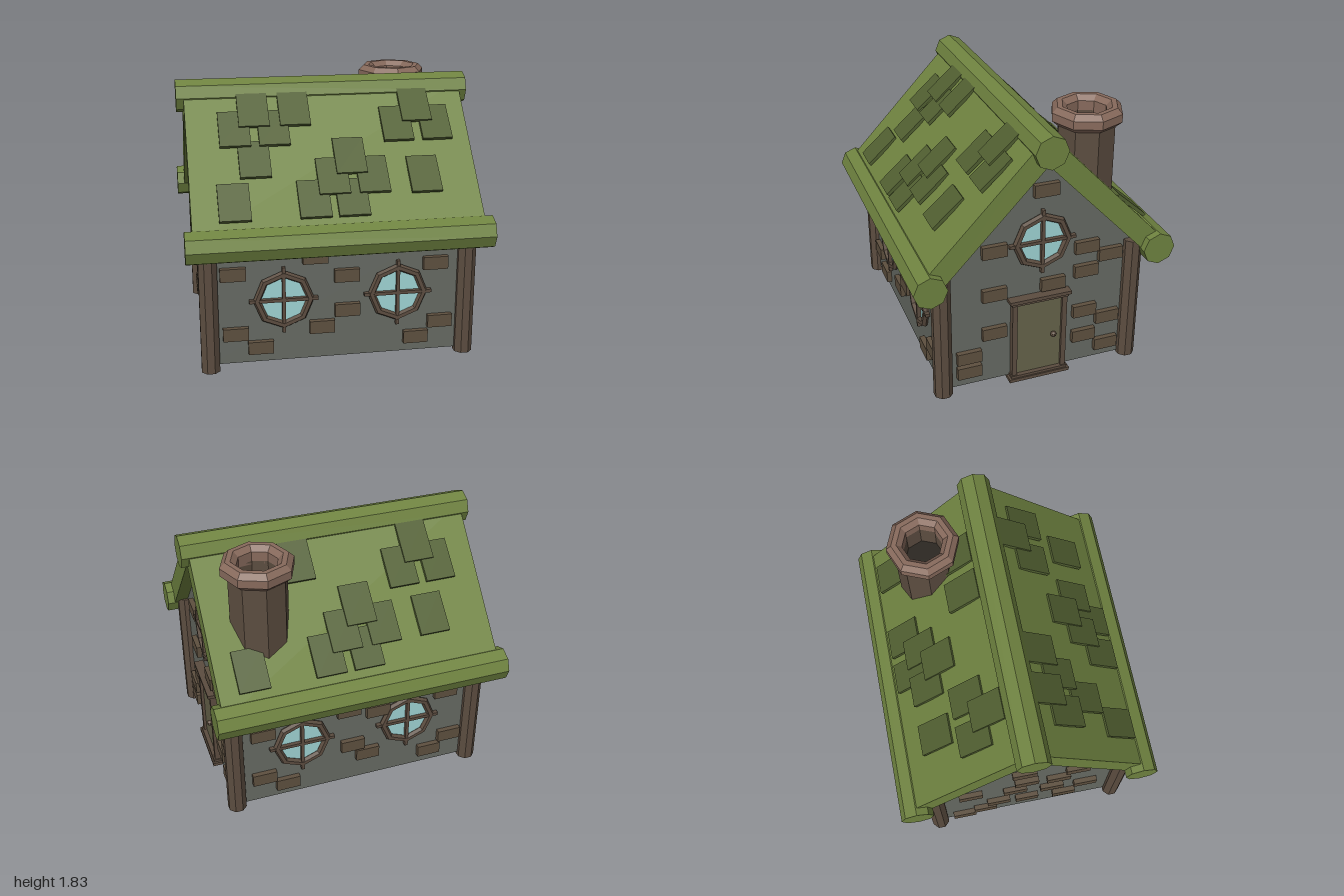
import * as THREE from 'three';

const mat = (color) => new THREE.MeshStandardMaterial({ color, flatShading: true });
const M = {
  roof: mat(0x6f8340), shingle: mat(0x515f31), wall: mat(0x666a63), brick: mat(0x5e503f),
  wood: mat(0x5c4d40), door: mat(0x66634a), glass: mat(0x9fd4d4), cap: mat(0x876a5c), soot: mat(0x2a2620),
};
M.glass.side = THREE.DoubleSide;

// Roof surface: y = TOP - SLOPE * |z|
const TOP = 1.82, SLOPE = 1.05, PITCH = Math.atan(SLOPE);
const FRONT = 0.68, BACK = -0.65, SIDE = 0.86;

function add(parent, name, geo, material, x = 0, y = 0, z = 0) {
  const m = new THREE.Mesh(geo, material);
  m.name = name;
  m.position.set(x, y, z);
  parent.add(m);
  return m;
}
const box = (w, h, d) => new THREE.BoxGeometry(w, h, d);

// Round window in the xy plane facing +z
function createWindow() {
  const g = new THREE.Group();
  g.name = 'roundWindow';
  add(g, 'windowFrame', new THREE.TorusGeometry(0.178, 0.026, 6, 8), M.wood, 0, 0, 0.015);
  add(g, 'windowGlass', new THREE.CircleGeometry(0.175, 8), M.glass, 0, 0, 0.008);
  add(g, 'verticalBar', box(0.022, 0.456, 0.03), M.wood, 0, 0, 0.02);
  add(g, 'horizontalBar', box(0.456, 0.022, 0.03), M.wood, 0, 0, 0.02);
  return g;
}

// Door in the xy plane facing +z
function createDoor() {
  const g = new THREE.Group();
  g.name = 'door';
  add(g, 'doorPanel', box(0.34, 0.58, 0.03), M.door, 0, 0.33, 0.01);
  for (const s of [-1, 1]) add(g, 'doorJamb', box(0.035, 0.58, 0.06), M.wood, s * 0.175, 0.33, 0.015);
  for (const y of [0.02, 0.62]) {
    add(g, 'doorBeam', box(0.4, 0.02, 0.07), M.wood, 0, y + (y < 0.1 ? 0.028 : 0.005), 0.02);
    add(g, 'doorBeamEdge', box(0.43, 0.024, 0.09), M.wood, 0, y + (y < 0.1 ? 0.008 : 0.026), 0.02);
  }
  add(g, 'doorKnob', new THREE.SphereGeometry(0.021, 8, 6), M.wood, 0.1, 0.33, 0.045);
  return g;
}

export function createModel() {
  const house = new THREE.Group();
  house.name = 'cottage';

  // Walls with gables, one solid prism along x
  const gable = new THREE.Shape([
    [BACK, 0.04], [FRONT, 0.04], [FRONT, 0.99], [0, 1.68], [BACK, 1.02],
  ].map(([z, y]) => new THREE.Vector2(z, y)));
  const walls = new THREE.ExtrudeGeometry(gable, { depth: 2 * SIDE, bevelEnabled: false });
  walls.translate(0, 0, -SIDE).rotateY(-Math.PI / 2);
  add(house, 'walls', walls, M.wall);

  // Corner posts with slightly uneven feet
  for (const [x, z, foot] of [[-SIDE, FRONT, 0], [0.865, FRONT, 0.015], [0.865, BACK, 0.025], [-SIDE, BACK, 0.015]]) {
    const geo = new THREE.CylinderGeometry(0.065, 0.065, 0.94 - foot, 8).rotateY(Math.PI / 8);
    add(house, 'cornerPost', geo, M.wood, x, (0.94 + foot) / 2, z);
  }

  // Roof slabs
  const thick = 0.21 * Math.cos(PITCH);
  for (const s of [-1, 1]) {
    const slab = add(house, 'roofSlab', box(1.9, thick, 1.13), M.roof, 0, TOP - 0.105 - SLOPE * 0.39, s * 0.39);
    slab.rotation.x = s * PITCH;
  }
  // Ridge and eave logs
  for (const [y, z] of [[1.715, 0], [0.902, 0.78], [0.902, -0.78]]) {
    add(house, 'roofLog', new THREE.CylinderGeometry(0.111, 0.111, 2, 8), M.roof, 0, y, z).rotation.z = Math.PI / 2;
  }

  // Shingles: x and distance from the ridge
  const shingles = {
    '1': [[-0.5, 0.18], [-0.225, 0.18], [-0.635, 0.28], [-0.375, 0.28], [-0.52, 0.44], [-0.675, 0.65],
      [-0.16, 0.65], [-0.02, 0.54], [0.11, 0.44], [0.245, 0.54], [0.09, 0.65], [0.605, 0.18],
      [0.46, 0.28], [0.725, 0.28], [0.59, 0.55]],
    '-1': [[-0.05, 0.64], [0.21, 0.64], [-0.2, 0.545], [0.07, 0.545], [-0.065, 0.44], [-0.545, 0.545],
      [-0.675, 0.305], [-0.415, 0.305], [-0.555, 0.2], [0.275, 0.2], [0.54, 0.2], [0.72, 0.64]],
  };
  for (const s of [-1, 1]) {
    for (const [x, z] of shingles[s]) {
      const m = add(house, 'shingle', box(0.205, 0.024, 0.275), M.shingle, x,
        TOP - SLOPE * z + 0.014 * Math.cos(PITCH), s * (z + 0.014 * Math.sin(PITCH)));
      m.rotation.x = s * (PITCH - 0.08);
    }
  }

  // Chimney shaft, hollow cap and dark flue
  const lathe = (pts) => new THREE.LatheGeometry(pts.map(([r, y]) => new THREE.Vector2(r, y)), 8);
  const cx = 0.585, cz = -0.41;
  add(house, 'chimneyShaft', lathe([[0, 1.05], [0.195, 1.05], [0.195, 1.72], [0.135, 1.72], [0.135, 1.5]]), M.wood, cx, 0, cz);
  add(house, 'chimneyCap', lathe([[0.135, 1.695], [0.2, 1.695], [0.24, 1.73], [0.24, 1.785], [0.205, 1.82],
    [0.17, 1.82], [0.135, 1.785], [0.135, 1.695]]), M.cap, cx, 0, cz);
  add(house, 'chimneyFlue', new THREE.CylinderGeometry(0.14, 0.14, 0.02, 8), M.soot, cx, 1.55, cz);

  // Windows on both long walls and the door gable
  for (const x of [-0.37, 0.395]) {
    for (const s of [-1, 1]) {
      const w = createWindow();
      w.position.set(x, 0.48, s > 0 ? FRONT : BACK);
      w.rotation.y = s > 0 ? 0 : Math.PI;
      house.add(w);
    }
  }
  const gableWindow = createWindow();
  gableWindow.position.set(SIDE, 1.05, 0);
  const door = createDoor();
  door.position.set(SIDE, 0, 0.015);
  for (const g of [gableWindow, door]) {
    g.rotation.y = Math.PI / 2;
    house.add(g);
  }

  // Bricks: position along the wall, height
  const longBricks = [
    [FRONT, [[-0.7, 0.675], [-0.16, 0.765], [0.05, 0.625], [0.65, 0.675], [-0.69, 0.255], [-0.525, 0.15],
      [-0.115, 0.27], [0.055, 0.38], [0.69, 0.255], [0.525, 0.15]]],
    [BACK, [[0.665, 0.62], [0.665, 0.24], [0.5, 0.15], [0.06, 0.67], [-0.15, 0.62], [0.03, 0.36],
      [-0.08, 0.26], [-0.65, 0.66], [-0.55, 0.16], [-0.7, 0.26]]],
  ];
  for (const [z, list] of longBricks) {
    for (const [x, y] of list) add(house, 'brick', box(0.168, 0.088, 0.07), M.brick, x, y, z);
  }
  const gableBricks = [
    [SIDE, [[-0.02, 1.415], [0.325, 1.04], [0.325, 0.72], [-0.08, 0.72], [-0.315, 0.95], [-0.485, 0.865],
      [-0.315, 0.77], [0.325, 0.425], [-0.315, 0.455], [-0.485, 0.37], [-0.315, 0.255], [-0.485, 0.15],
      [0.5, 0.27], [0.5, 0.155]]],
    [-SIDE, [[0.02, 1.41], [-0.02, 1.05], [0.0, 0.81], [0.23, 0.76], [0.36, 0.91], [0.44, 0.47],
      [-0.08, 0.63], [0.19, 0.53], [-0.2, 0.38], [0.01, 0.34], [0.29, 0.27], [-0.3, 0.24],
      [-0.46, 0.16], [-0.4, 0.7]]],
  ];
  for (const [x, list] of gableBricks) {
    for (const [z, y] of list) add(house, 'brick', box(0.07, 0.088, 0.168), M.brick, x, y, z);
  }

  return house;
}
